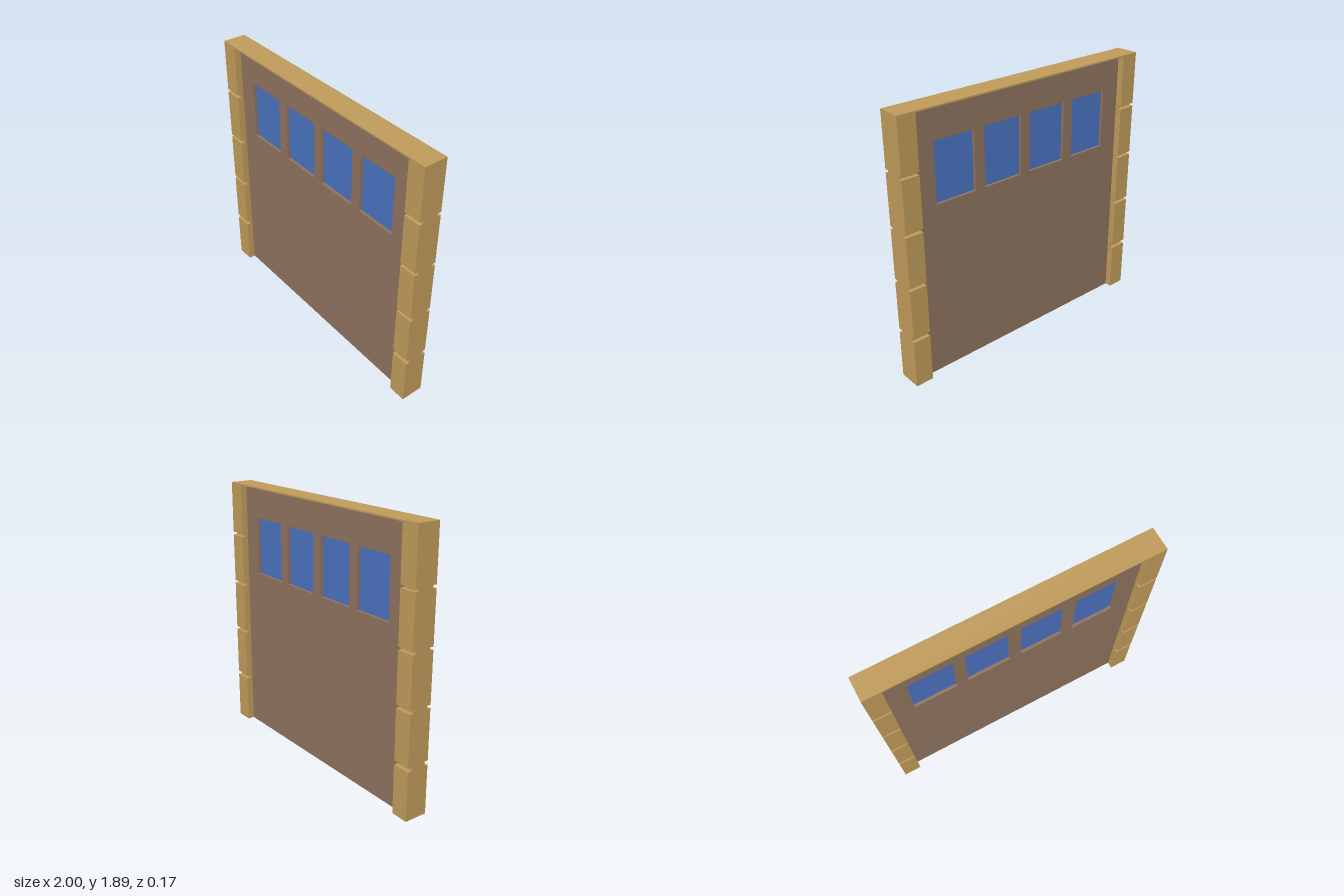
import * as THREE from 'three';

const WIDTH = 2, HEIGHT = 1.89, DEPTH = 0.166;
const INNER = 0.873;      // half width of the opening
const DOOR_TOP = 1.88;

const timber = new THREE.MeshStandardMaterial({ color: 0xc09b5a });
const panel = new THREE.MeshStandardMaterial({ color: 0x8f735f });
const glass = new THREE.MeshStandardMaterial({ color: 0x4a72c0 });

// Box given by its x and y ranges, centred on z = 0
function slab(name, x0, x1, y0, y1, depth, material) {
  const mesh = new THREE.Mesh(new THREE.BoxGeometry(x1 - x0, y1 - y0, depth), material);
  mesh.position.set((x0 + x1) / 2, (y0 + y1) / 2, 0);
  mesh.name = name;
  return mesh;
}

// Post of five stacked blocks with a thinner core showing in the joints
function createPost(name, side) {
  const post = new THREE.Group();
  post.name = name;
  const x0 = side > 0 ? INNER : -WIDTH / 2;
  const x1 = side > 0 ? WIDTH / 2 : -INNER;
  const blocks = [[0, 0.35], [0.38, 0.737], [0.76, 1.116], [1.136, 1.495], [1.517, HEIGHT]];
  blocks.forEach(([y0, y1], i) => {
    post.add(slab('postBlock', x0, x1, y0, y1, DEPTH, timber));
    if (i > 0) post.add(slab('postJoint', x0, x1, blocks[i - 1][1], y0, 0.11, timber));
  });
  return post;
}

// Door leaf with a row of four window openings
function createDoor() {
  const door = new THREE.Group();
  door.name = 'door';
  const thickness = 0.07;
  const w = 0.305, y0 = 1.237, y1 = 1.656;
  const rect = (Type, ax, ay, bx, by) => new Type([
    new THREE.Vector2(ax, ay), new THREE.Vector2(bx, ay),
    new THREE.Vector2(bx, by), new THREE.Vector2(ax, by),
  ]);
  const outline = rect(THREE.Shape, -INNER, 0, INNER, DOOR_TOP);
  for (let i = 0; i < 4; i++) {
    const cx = (i - 1.5) * 0.385;
    outline.holes.push(rect(THREE.Path, cx - w / 2, y0, cx + w / 2, y1));
    door.add(slab('windowPane', cx - w / 2, cx + w / 2, y0, y1, 0.028, glass));
  }
  const geometry = new THREE.ExtrudeGeometry(outline, { depth: thickness, bevelEnabled: false });
  geometry.translate(0, 0, -thickness / 2);
  const leaf = new THREE.Mesh(geometry, panel);
  leaf.name = 'doorPanel';
  door.add(leaf);
  return door;
}

export function createModel() {
  const model = new THREE.Group();
  model.name = 'garageDoor';
  model.add(createPost('leftPost', 1), createPost('rightPost', -1));
  // Thin header closing the top between the posts
  model.add(slab('header', -INNER, INNER, DOOR_TOP, HEIGHT, DEPTH, timber));
  model.add(createDoor());
  return model;
}
